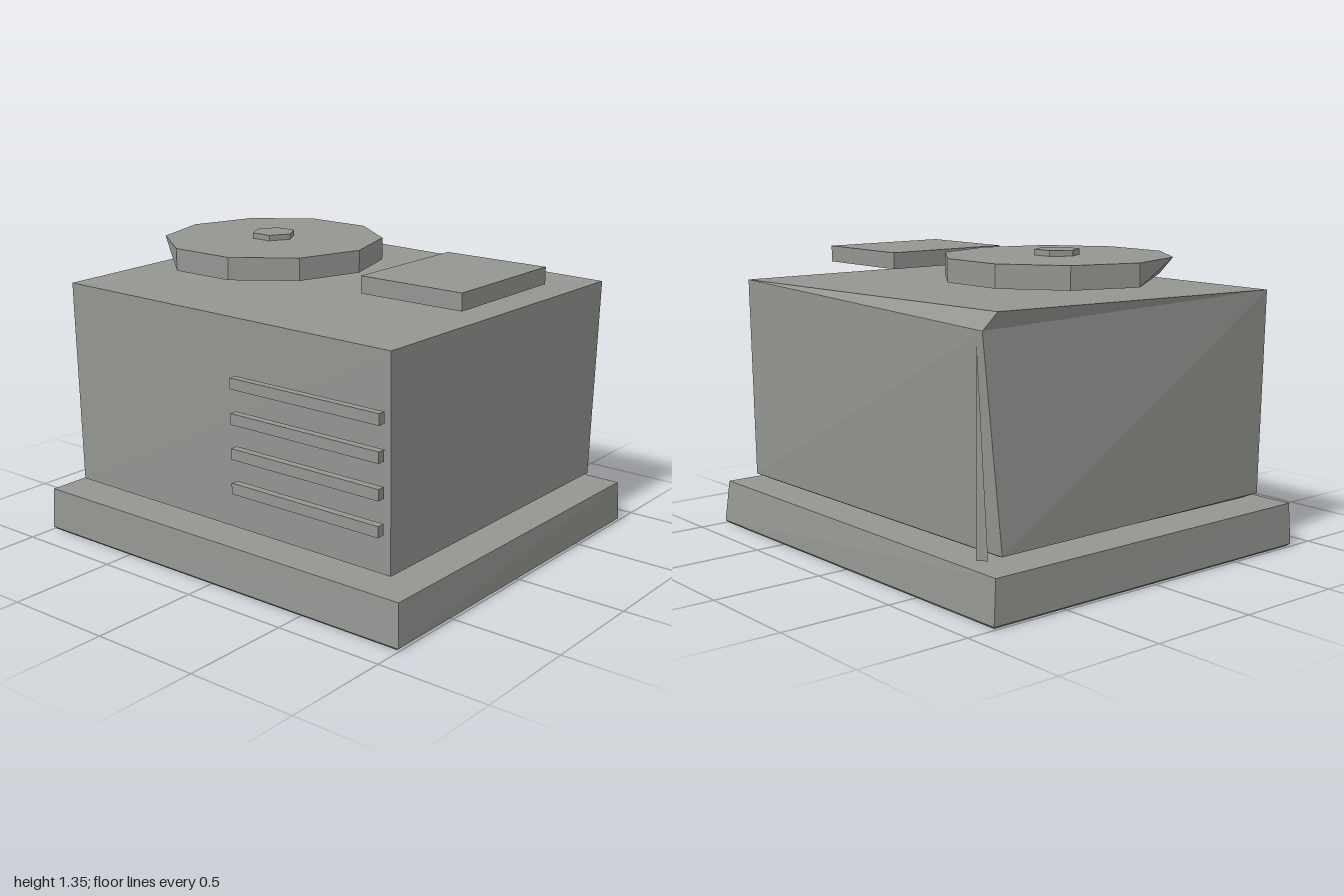
import * as THREE from 'three';

// Flat-shaded skin through rings of points, each ring anticlockwise seen from above
function loft(rings, closeBottom = true) {
  const pos = [];
  const tri = (a, b, c) => {
    const [p, q, r] = [a, b, c].map((v) => new THREE.Vector3(...v));
    if (q.clone().sub(p).cross(r.clone().sub(p)).length() > 1e-7) pos.push(...a, ...b, ...c);
  };
  const n = rings[0].length;
  for (let k = 0; k < rings.length - 1; k++) {
    const lo = rings[k], hi = rings[k + 1];
    for (let i = 0; i < n; i++) {
      const j = (i + 1) % n;
      tri(lo[i], lo[j], hi[j]);
      tri(lo[i], hi[j], hi[i]);
    }
  }
  const top = rings[rings.length - 1], bottom = rings[0];
  for (let i = 1; i < n - 1; i++) {
    tri(top[0], top[i], top[i + 1]);
    if (closeBottom) tri(bottom[0], bottom[i + 1], bottom[i]);
  }
  const geo = new THREE.BufferGeometry();
  geo.setAttribute('position', new THREE.Float32BufferAttribute(pos, 3));
  geo.computeVertexNormals();
  return geo;
}

// Regular polygon ring starting at its -x corner
function polygon(n, r, cx, y) {
  return Array.from({ length: n }, (_, i) => {
    const a = Math.PI - (i * 2 * Math.PI) / n;
    return [cx + r * Math.cos(a), y, r * Math.sin(a)];
  });
}

// Four corners: front left, front right, back right, back left as seen from the front
const rect = (x, y, z) => [[-x, y, z], [x, y, z], [x, y, -z], [-x, y, -z]];

export function createModel() {
  const group = new THREE.Group();
  const metal = new THREE.MeshStandardMaterial({ color: 0x939691, side: THREE.DoubleSide });
  metal.name = 'greyMetal';
  metal.flatShading = true;

  const add = (name, geo, x = 0, y = 0, z = 0) => {
    const mesh = new THREE.Mesh(geo, metal);
    mesh.name = name;
    mesh.position.set(x, y, z);
    group.add(mesh);
  };

  // Hollow base tray, open underneath
  add('base', loft([
    rect(0.985, 0, 0.86),
    rect(1, 0.012, 0.872),
    [[-0.99, 0.2, 0.865], [0.99, 0.2, 0.86], [1, 0.2, -0.845], [-0.995, 0.2, -0.86]],
  ], false));

  // Slightly skewed housing with chamfered underside and one worn back top edge
  const frontLeft = [-0.915, 1.165, 0.755];
  const frontRight = [0.885, 1.165, 0.785];
  const backRight = [0.91, 1.165, -0.76];
  add('housing', loft([
    rect(0.84, 0.22, 0.71),
    [[-0.89, 0.245, 0.76], [0.88, 0.245, 0.765], [0.885, 0.245, -0.76], [-0.915, 0.245, -0.76]],
    [frontLeft, frontRight, backRight, [-0.87, 1.12, -0.82]],
    [frontLeft, frontRight, backRight, [-0.89, 1.19, -0.76]],
  ]));

  // Ten-sided fan cover with one lower corner cut away, and its hub
  const lower = polygon(10, 0.5, -0.38, 1.225);
  lower[1] = lower[2];
  add('fanCover', loft([lower, polygon(10, 0.5, -0.38, 1.325)]));
  add('fanHub', loft([polygon(6, 0.1, -0.38, 1.325), polygon(6, 0.1, -0.38, 1.35)]));

  // Flat access panel beside the fan
  add('accessPanel', new THREE.BoxGeometry(0.505, 0.075, 0.63), 0.6275, 1.2625, 0);

  // Front vent slats
  for (let i = 0; i < 4; i++) {
    add('ventSlat', new THREE.BoxGeometry(0.76, 0.048, 0.035), 0.5, 0.458 + i * 0.151, 0.832);
  }

  // Thin tapering pipe at the back
  const tip = [-0.85, 1.09, -0.832];
  add('backPipe', loft([
    [[-0.92, 0.245, -0.835], [-0.85, 0.245, -0.835], [-0.885, 0.245, -0.866]],
    [tip, tip, tip],
  ]));

  return group;
}
